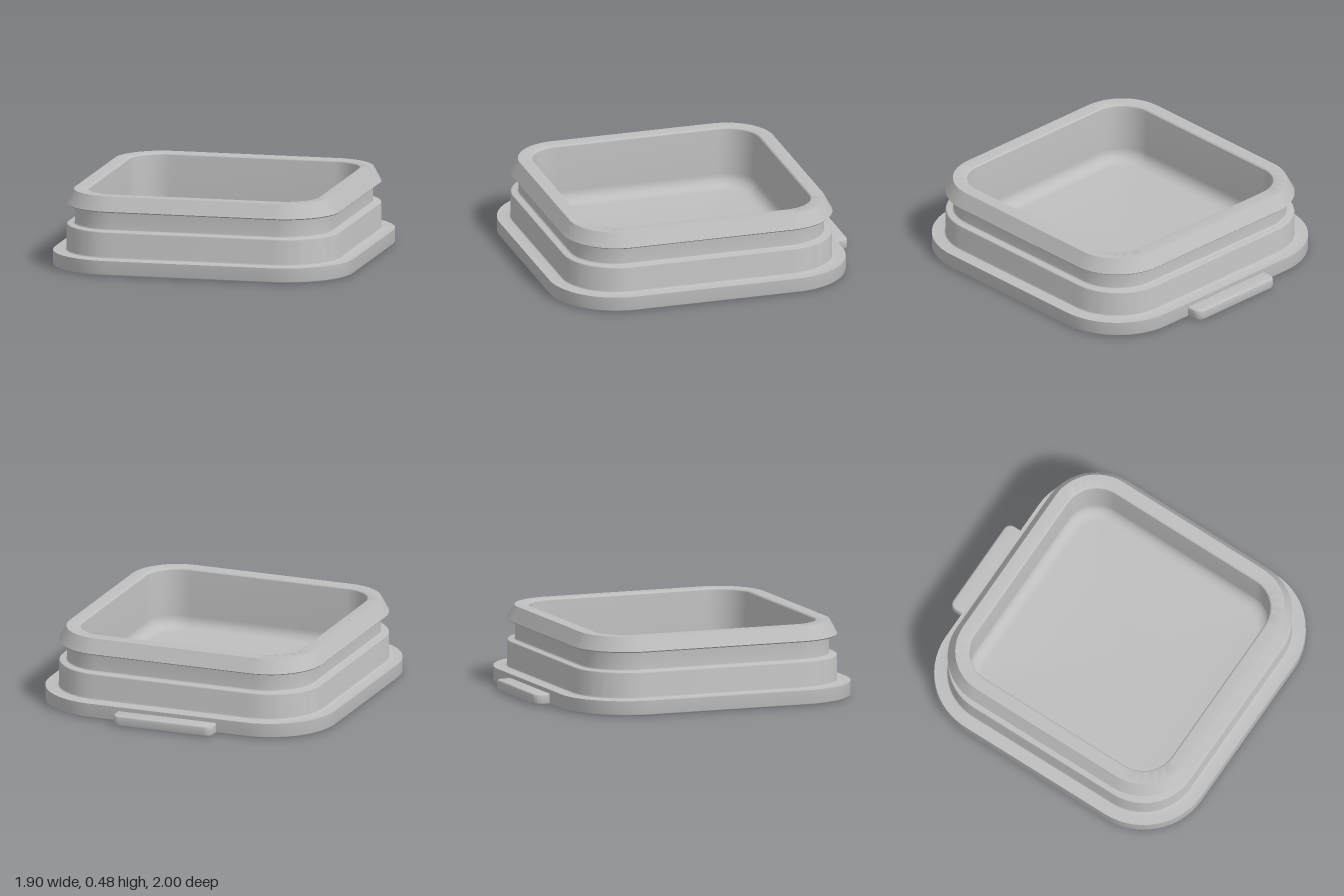
import * as THREE from 'three';
import { toCreasedNormals } from 'three/addons/utils/BufferGeometryUtils.js';

const CORE = 0.52;   // distance of the corner centres from the middle
const STEPS = 14;    // segments in each rounded corner

// One horizontal rounded-square ring; half is its half width
function ring(half, y) {
  const points = [];
  const c = half === 0 ? 0 : CORE;
  const r = half === 0 ? 0 : half - CORE;
  for (let q = 0; q < 4; q++) {
    const mid = q * Math.PI / 2 + Math.PI / 4;
    const cx = c * Math.sign(Math.cos(mid)), cz = -c * Math.sign(Math.sin(mid));
    for (let i = 0; i <= STEPS; i++) {
      const a = (q + i / STEPS) * Math.PI / 2;
      points.push(cx + r * Math.cos(a), y, cz - r * Math.sin(a));
    }
  }
  return points;
}

// Sweep a profile of [half width, height] around the rounded square
function loft(profile) {
  const n = 4 * (STEPS + 1);
  const positions = profile.flatMap(([h, y]) => ring(h, y));
  const index = [];
  for (let i = 0; i < profile.length - 1; i++) {
    for (let j = 0; j < n; j++) {
      const k = (j + 1) % n;
      const a = i * n + j, b = i * n + k, c = a + n, d = b + n;
      if (profile[i][0] > 0) index.push(a, b, d);
      if (profile[i + 1][0] > 0) index.push(a, d, c);
    }
  }
  const g = new THREE.BufferGeometry();
  g.setAttribute('position', new THREE.Float32BufferAttribute(positions, 3));
  g.setIndex(index);
  return toCreasedNormals(g, 0.6);
}

// Quarter-round profile points between two angles
function arc(cx, cy, r, from, to, steps) {
  return Array.from({ length: steps + 1 }, (_, i) => {
    const a = from + (to - from) * i / steps;
    return [cx + r * Math.cos(a), cy + r * Math.sin(a)];
  });
}

export function createModel() {
  const group = new THREE.Group();
  group.name = 'squarePlug';
  const grey = new THREE.MeshStandardMaterial({ color: 0xbebebe });
  grey.name = 'grey plastic';
  const P = Math.PI;

  // Flange, stepped neck, flared lip and hollow in one closed profile
  const profile = [
    [0, 0],
    ...arc(0.938, 0.012, 0.012, -P / 2, 0, 4),
    [0.95, 0.095],
    ...arc(0.875, 0.105, 0.01, -P / 2, -P, 3),
    ...arc(0.857, 0.254, 0.008, 0, P / 2, 3),
    ...arc(0.825, 0.272, 0.01, -P / 2, -P, 3),
    [0.815, 0.383],
    [0.86, 0.383], [0.867, 0.39],
    [0.82, 0.478],
    ...arc(0.742, 0.466, 0.012, P / 2, P, 4),
    ...arc(0.65, 0.175, 0.08, 0, -P / 2, 8),
    [0, 0.095],
  ];
  const body = new THREE.Mesh(loft(profile), grey);
  body.name = 'body';
  body.position.z = 0.05;
  group.add(body);

  // Pull tab on the back edge, outer corners rounded
  const B = 0.012, w = 0.33 - B, back = 1 - B, r = 0.035;
  const s = new THREE.Shape();
  s.moveTo(-w, 0.86);
  s.lineTo(w, 0.86);
  s.lineTo(w, back - r);
  s.absarc(w - r, back - r, r, 0, P / 2, false);
  s.absarc(-w + r, back - r, r, P / 2, P, false);
  s.closePath();
  const tabShape = new THREE.ExtrudeGeometry(s, {
    depth: 0.067 - 2 * B, bevelThickness: B, bevelSize: B, bevelSegments: 3, curveSegments: 8,
  });
  tabShape.rotateX(-P / 2);
  const tab = new THREE.Mesh(toCreasedNormals(tabShape, 0.6), grey);
  tab.name = 'pullTab';
  tab.position.y = 0.003 + B;
  group.add(tab);

  return group;
}
